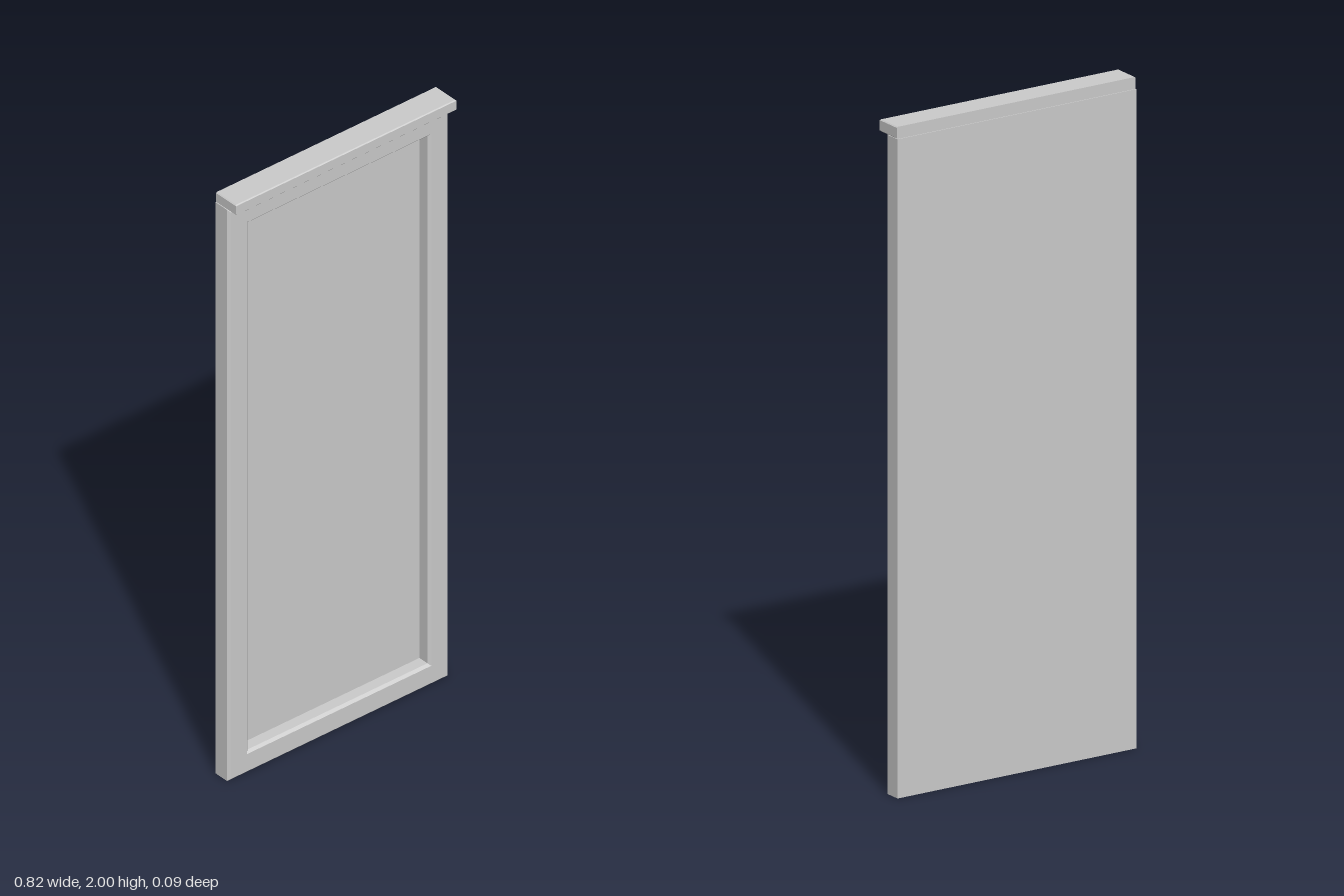
import * as THREE from 'three';

// Skins a series of rectangular rings [halfWidth, yMin, yMax, z] with flat faces.
function rectLoft(rings, capStart, capEnd) {
  const corners = rings.map(([w, y0, y1, z]) => [[-w, y0, z], [w, y0, z], [w, y1, z], [-w, y1, z]]);
  const pos = [];
  const quad = (a, b, c, d) => pos.push(...a, ...b, ...c, ...a, ...c, ...d);
  for (let i = 0; i + 1 < corners.length; i++) {
    const p = corners[i], q = corners[i + 1];
    for (let k = 0; k < 4; k++) {
      const n = (k + 1) % 4;
      quad(p[k], p[n], q[n], q[k]);
    }
  }
  if (capStart) quad(...[...corners[0]].reverse());
  if (capEnd) quad(...corners[corners.length - 1]);
  const g = new THREE.BufferGeometry();
  g.setAttribute('position', new THREE.Float32BufferAttribute(pos, 3));
  g.computeVertexNormals();
  return g;
}

export function createModel() {
  const group = new THREE.Group();
  const mat = new THREE.MeshStandardMaterial({ color: 0xcccccc, flatShading: true });
  const add = (name, geo) => {
    const mesh = new THREE.Mesh(geo, mat);
    mesh.name = name;
    group.add(mesh);
    return mesh;
  };

  const W = 0.409, H = 1.964, back = -0.045, front = 0.014, c = 0.008;
  const border = 0.067, recess = -0.029;
  const inset = (d, z) => [W - d, d, H - d, z];

  // Door body: chamfered outer edge, raised border and chamfered opening
  add('doorFrame', rectLoft([
    inset(0, back),
    inset(0, front - c),
    inset(c, front),
    inset(border, front),
    inset(border + c, front - c),
    inset(border + c, recess),
  ], true, false));

  // Recessed panel inside the border
  const open = 2 * (border + c);
  const panel = add('recessedPanel', new THREE.PlaneGeometry(2 * W - open, H - open));
  panel.position.set(0, H / 2, recess);

  // Overhanging top rail, set slightly in from the back, with finely chamfered edges
  const zBack = -0.042, zFront = 0.045, b = 0.003, T = 2 - H;
  const rail = add('topRail', rectLoft([
    [W - b, -zFront + b, -zBack, 0],
    [W, -zFront, -zBack, b],
    [W, -zFront, -zBack, T - b],
    [W - b, -zFront + b, -zBack, T],
  ], true, true));
  rail.rotation.x = -Math.PI / 2;
  rail.position.y = H;

  return group;
}
